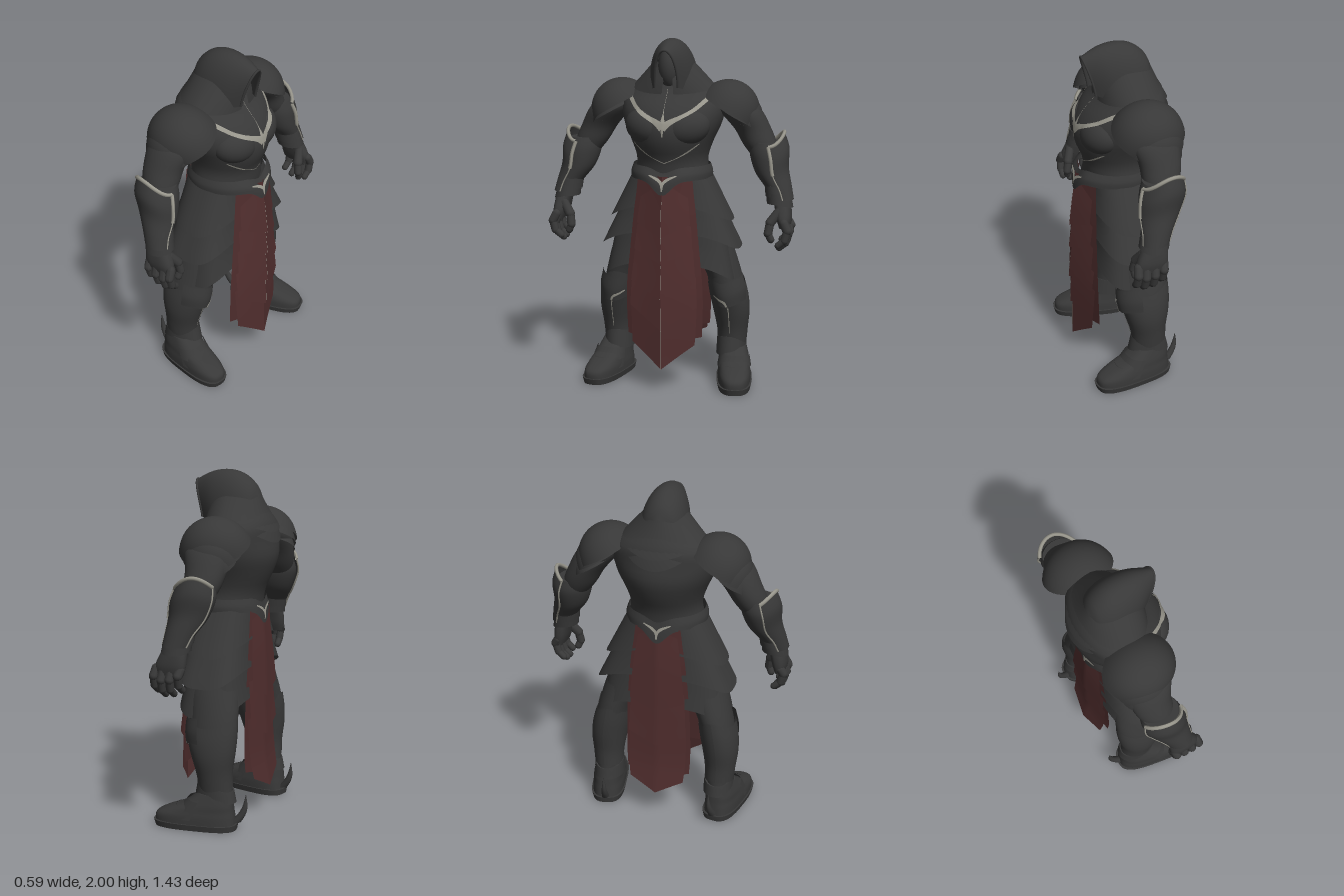
import * as THREE from 'three';
import { mergeGeometries, mergeVertices, toCreasedNormals } from 'three/addons/utils/BufferGeometryUtils.js';

const mat = (name, color) => new THREE.MeshStandardMaterial({ name, color, side: THREE.DoubleSide });
const { sin, cos, abs, max, min, pow, sign, floor, PI } = Math;

// Smooth interpolation through a short table of rows
function sample(rows, u) {
  const n = rows.length, s = u * (n - 1), i = min(floor(s), n - 2), t = s - i;
  const [a, b, c, d] = [rows[max(i - 1, 0)], rows[i], rows[i + 1], rows[min(i + 2, n - 1)]];
  return b.map((p, k) => 0.5 * (2 * p + (c[k] - a[k]) * t + (2 * a[k] - 5 * p + 4 * c[k] - d[k]) * t * t
    + (3 * p - a[k] - 3 * c[k] + d[k]) * t * t * t));
}

// Surface from fn(u, v, s); us is a list of [u, s] rows
function grid(fn, us, nv, closed = false) {
  const pos = [], idx = [], rows = [], cols = closed ? nv : nv + 1;
  for (const [u, s] of us) {
    const row = [];
    for (let j = 0; j < cols; j++) {
      const p = fn(u, j / nv, s);
      row.push(new THREE.Vector3(...p));
      pos.push(...p);
    }
    rows.push(row);
  }
  for (let i = 0; i < us.length - 1; i++) for (let j = 0; j < nv; j++) {
    const k = (j + 1) % cols, a = i * cols + j, b = i * cols + k, c = b + cols, d = a + cols;
    idx.push(a, b, c, a, c, d);
  }
  const g = new THREE.BufferGeometry();
  g.setAttribute('position', new THREE.Float32BufferAttribute(pos, 3));
  g.setIndex(idx);
  g.computeVertexNormals();
  g.userData.rows = rows;
  return g;
}
const steps = n => Array.from({ length: n + 1 }, (_, i) => [i / n, 1]);

// Loft of rings [y, cx, cz, rx, rzFront, rzBack], bottom up; a0..a1 leaves an open shell
function loft(rings, { a0, a1, lo = () => 0, hi = () => 0, n = 1, nu = 20, nv = 40 } = {}) {
  const open = a0 !== undefined;
  const fn = (u, v, s) => {
    const [y, cx, cz, rx, rf, rb] = sample(rings, u);
    const t = open ? a0 + (a1 - a0) * v : PI + 2 * PI * v;
    const S = sign(sin(t)) * pow(abs(sin(t)), n), C = sign(cos(t)) * pow(abs(cos(t)), n);
    return [cx + s * rx * S, y + lo(t) * (1 - u) + hi(t) * u, cz + s * (C > 0 ? rf : rb) * C];
  };
  const us = steps(nu);
  return grid(fn, open ? us : [[0, 0], [0, 1], ...us, [1, 1], [1, 0]], nv, !open);
}

const tube = (pts, r) => new THREE.TubeGeometry(new THREE.CatmullRomCurve3(pts), 40, r, 6);

// Chain of capsules through points, for fingers
function limb(pts, r) {
  return mergeGeometries(pts.slice(1).map((p, i) => {
    const a = new THREE.Vector3(...pts[i]), b = new THREE.Vector3(...p), d = b.clone().sub(a);
    const q = new THREE.Quaternion().setFromUnitVectors(new THREE.Vector3(0, 1, 0), d.clone().normalize());
    const m = r * (1 - i * 0.12);
    return new THREE.CapsuleGeometry(m, d.length(), 4, 10).applyQuaternion(q)
      .translate(...a.add(b).multiplyScalar(0.5).toArray());
  }));
}

// Thin strip [x, y, halfWidth] laid on the front (side 1) or back (side -1) of the target meshes
function inlay(targets, pts, side = 1) {
  const ray = new THREE.Raycaster();
  let z = 0.2 * side;
  return grid((u, v) => {
    const [x, y, w] = sample(pts, u), e = 0.01;
    const p = sample(pts, max(u - e, 0)), q = sample(pts, min(u + e, 1));
    const dx = q[0] - p[0], dy = q[1] - p[1], l = Math.hypot(dx, dy) || 1, k = (v * 2 - 1) * w;
    const X = x - dy / l * k, Y = y + dx / l * k;
    ray.set(new THREE.Vector3(X, Y, 2 * side), new THREE.Vector3(0, 0, -side));
    const hit = ray.intersectObjects(targets)[0];
    if (hit) z = hit.point.z + 0.006 * side;
    return [X, Y, z];
  }, steps(30), 4);
}

function mirrored(g) {
  const m = (g.index ? g.clone() : mergeVertices(g)).scale(-1, 1, 1), ix = m.index.array;
  for (let i = 0; i < ix.length; i += 3) [ix[i], ix[i + 1]] = [ix[i + 1], ix[i]];
  m.computeVertexNormals();
  return m;
}

export function createModel() {
  const armour = mat('dark armour', 0x383838), red = mat('dark red cloth', 0x4f2d2d), trim = mat('pale trim', 0x97958b);
  const body = new THREE.Group();
  body.name = 'armouredFigure';
  const add = (name, g, m = armour) => {
    const mesh = new THREE.Mesh(g, m);
    mesh.name = name;
    body.add(mesh);
    return mesh;
  };
  const pair = (name, g, m = armour) => {
    add(name + 'Right', mirrored(g), m);
    return add(name + 'Left', g, m);
  };

  // Torso and chest
  const torso = add('torso', loft([[1.1, 0, 0, .24, .17, .18], [1.22, 0, 0, .22, .19, .185], [1.32, 0, -.01, .205, .21, .19],
    [1.42, 0, -.01, .235, .25, .235], [1.52, 0, -.02, .28, .265, .255], [1.62, 0, -.04, .3, .235, .225],
    [1.7, 0, -.06, .27, .18, .2], [1.79, 0, -.06, .15, .13, .15]]));
  const pec = pair('chestPlate', new THREE.SphereGeometry(1, 28, 18).scale(.135, .105, .1).rotateZ(.25).rotateY(.4).translate(.115, 1.51, .137));
  const chest = [torso, pec];
  pair('chestTrim', inlay(chest, [[0, 1.515, .024], [.04, 1.545, .016], [.1, 1.575, .011], [.164, 1.612, .011], [.215, 1.66, .012], [.245, 1.69, .011], [.285, 1.705, .005]]), trim);
  add('breastboneTrim', inlay(chest, [[0, 1.72, .001], [0, 1.6, .002], [0, 1.54, .012], [0, 1.46, .002]]), trim);
  pair('ribTrim', inlay(chest, [[0, 1.31, .002], [.07, 1.34, .002], [.13, 1.375, .004], [.19, 1.42, .002]]), trim);

  // Belt, pointed at front and back
  const dip = t => -.08 * pow(abs(cos(t)), 24);
  const belt = add('belt', loft([[1.215, 0, 0, .235, .262, .218], [1.25, 0, 0, .235, .255, .212], [1.29, 0, 0, .222, .225, .2]],
    { a0: -PI, a1: PI, lo: dip, hi: t => dip(t) * .4, nv: 80 }));
  const buckle = [[0, 1.16, .004], [.004, 1.2, .008], [.03, 1.225, .008], [.08, 1.247, .003]];
  pair('buckleTrim', inlay([belt], buckle), trim);
  pair('backBuckleTrim', inlay([belt], buckle, -1), trim);

  // Hood, face and shoulder mantle
  const hoodRows = [[-.185, 1.86, .05, 1.76], [-.15, 1.925, .1, 1.72], [-.08, 1.98, .13, 1.7], [.01, 2, .135, 1.7],
    [.11, 1.985, .115, 1.71], [.205, 1.94, .066, 1.73]];
  const hood = grid((u, v) => {
    const [z, top, w, low] = sample(hoodRows, u), t = (v * 2 - 1) * PI / 2;
    return [-w * sin(t), low + (top - low) * pow(max(0, cos(t)), .8), z - .06 * u * (1 - cos(t))];
  }, steps(24), 32);
  add('hood', hood);
  add('hoodEdge', tube(hood.userData.rows.at(-1), .007));
  add('face', new THREE.SphereGeometry(1, 24, 18).scale(.075, .13, .1).translate(0, 1.83, .03));
  const back = t => max(0, -cos(t));
  for (const k of [0, 1]) add('mantle', loft([[1.72 - k * .03, 0, -.04, .25 - k * .01, .17, .24 + k * .01],
    [1.785 - k * .03, 0, -.04, .19 + k * .01, .16, .19 + k * .02], [1.87 - k * .03, 0, -.03, .11, .12, .15]],
    { a0: .15, a1: 2 * PI - .15, lo: t => -.05 * max(0, cos(t)) - (.06 + k * .03) * pow(back(t), 3), nv: 60 }));

  // Layered shoulder guards, each a tilted dome with a flared, pointed outer rim
  [[.315, 1.59, .178, .195], [.362, 1.552, .148, .16], [.398, 1.512, .125, .13]].forEach(([x, y, r, rz], i) => {
    const dome = grid((u, v) => {
      const a = v * 2 * PI, p = max(.001, (1 - u) * (1.45 + .35 * pow(max(0, cos(a)), 6)));
      const flare = 1 + .05 * pow(1 - u, 6);
      return [r * flare * sin(p) * cos(a), r * cos(p), -rz * flare * sin(p) * sin(a)];
    }, steps(18), 48, true).rotateZ(-.5).translate(x, y, -.06 - i * .012);
    pair('shoulderGuard' + (i + 1), dome);
  });

  // Arms
  pair('upperArm', loft([[1.32, .53, -.05, .06, .07, .08], [1.4, .5, -.06, .095, .095, .11], [1.49, .455, -.07, .105, .112, .122],
    [1.6, .38, -.06, .12, .14, .14], [1.67, .33, -.06, .08, .1, .1]]));
  const foreRows = [[1.09, .635, .02, .06, .06, .07], [1.16, .613, .0, .065, .075, .08], [1.25, .568, -.025, .088, .1, .11],
    [1.35, .55, -.045, .105, .115, .125], [1.42, .535, -.05, .09, .098, .112]];
  pair('forearm', loft(foreRows));
  const guard = loft([...foreRows.slice(0, 4), [1.43, .535, -.05, .09, .1, .115]].map(([y, x, z, a, b, c]) => [y + .015, x + .004, z, a + .01, b + .012, c + .012]),
    { a0: .25, a1: 2.8, hi: t => -.045 + .075 * pow(max(0, sin(t - .25)), 2) });
  pair('gauntletGuard', guard);
  const gr = guard.userData.rows, front = gr.map(r => r[0]);
  pair('gauntletRim', tube(gr.at(-1), .011), trim);
  pair('gauntletFrontEdge', tube(front.slice(10), .011), trim);
  pair('gauntletLowerEdge', tube(front.slice(0, 11), .004), trim);
  pair('gauntletBackEdge', tube(gr.map(r => r.at(-1)), .005), trim);
  for (const k of [0, 1]) pair('wristCuff', loft([[1.08 + k * .04, .632 - k * .01, .02 - k * .01, .075, .082, .085],
    [1.14 + k * .04, .62 - k * .012, .01 - k * .01, .068, .08, .082]], { nu: 4, lo: t => -.02 * max(0, sin(t)) }));

  // Hands
  pair('palm', loft([[.95, .665, .045, .03, .08, .085], [1.0, .66, .04, .042, .085, .09], [1.06, .65, .03, .045, .07, .08], [1.12, .635, .02, .045, .05, .06]], { n: .8 }));
  [-.025, .025, .075, .12].forEach((z, i) => {
    const dy = [.03, .005, 0, .02][i];
    pair('finger', limb([[.67, .98, z], [.69, .92 + dy, z + .006], [.675, .865 + dy, z + .008], [.64, .835 + dy, z + .005]], .026));
  });
  pair('thumb', limb([[.635, 1.04, .08], [.59, .98, .105], [.58, .92, .115], [.595, .885, .11]], .028));

  // Skirt of overlapping, flared plates on each side, lowest at the middle
  [[1.25, 1.01, .22, .36, .8], [1.08, .85, .275, .405, .62], [.92, .67, .32, .38, .55]].forEach(([t, b, rt, rb, n], i) => {
    pair('skirtPlate' + (i + 1), loft([[b, 0, 0, rb, .2, .2], [(t + b) / 2, 0, 0, (rt + rb) / 2, .183, .188], [t, 0, 0, rt, .175, .18]],
      { a0: .18, a1: PI - .18, n, lo: a => .06 - .1 * pow(sin(a), 2), nv: 60 }));
  });

  // Legs and greaves
  pair('leg', loft([[.1, .35, -.07, .075, .09, .1], [.2, .345, -.08, .07, .09, .095], [.3, .345, -.07, .08, .09, .1], [.42, .34, -.055, .092, .11, .12],
    [.53, .325, -.045, .1, .135, .14], [.65, .3, -.04, .1, .145, .145], [.85, .22, -.01, .12, .15, .155], [1.12, .12, 0, .1, .15, .16]]));
  const greave = pair('greave', loft([[.23, .345, -.075, .085, .1, .1], [.32, .348, -.07, .09, .108, .105], [.43, .345, -.055, .104, .13, .135],
    [.53, .332, -.045, .11, .152, .15], [.62, .315, -.04, .106, .152, .15]],
    { a0: -PI, a1: PI, lo: t => -.02 * cos(t), hi: t => .03 * cos(t * 2) }));
  const knee = pair('kneeGuard', loft([[.5, .335, -.045, .108, .152, .14], [.56, .328, -.042, .114, .16, .15], [.63, .313, -.038, .11, .156, .15]],
    { a0: -1, a1: 1.3, lo: t => -.03 * pow(max(0, cos(t)), 4), hi: t => .03 * abs(t) - .02 }));
  pair('kneeTrim', inlay([greave, knee], [[.265, .535, .004], [.3, .515, .006], [.335, .495, .007], [.35, .44, .003], [.35, .3, .002]]), trim);

  // Boots, turned out, with a heel spur
  const turn = g => g.translate(-.35, 0, .05).rotateY(.19).translate(.358, 0, -.05);
  pair('sole', turn(loft([[0, .355, 0, .096, .275, .2], [.035, .355, 0, .104, .285, .205]], { n: .7, nu: 2 })));
  pair('boot', turn(loft([[.03, .355, 0, .096, .275, .195], [.075, .355, 0, .095, .268, .19], [.11, .355, -.01, .09, .215, .175],
    [.15, .355, -.04, .085, .14, .14], [.21, .35, -.07, .075, .09, .1]], { n: .75 })));
  for (const k of [0, 1]) pair('instepPlate', turn(loft([[.06 + k * .05, .355, 0, .1, .205 - k * .07, .1], [.12 + k * .045, .355, -.02, .09, .17 - k * .07, .1]],
    { a0: -1.4, a1: 1.4, n: .8, nu: 6, hi: t => .012 * cos(t) })));
  pair('ankleCuff', loft([[.16, .343, -.075, .09, .13, .12], [.25, .343, -.075, .085, .108, .105]], { nu: 6, hi: t => .025 * cos(t) }));
  pair('heelSpur', turn(loft([[.045, .355, -.195, .022, .03, .03], [.09, .355, -.23, .018, .024, .022], [.14, .355, -.25, .012, .015, .014], [.21, .355, -.255, .001, .001, .001]], { nv: 12 })));

  // Hanging cloth: under sheet plus overlapping folded panels with pointed hems
  const cloth = (name, s, tops, tips, sides, width, depth, fold, grow) => {
    const piece = (label, yT, tip, side, extra, kick) => {
      const fn = (u, v) => {
        const a = v * 2 - 1, yb = side + (tip - side) * (1 - abs(a)), y = yb + (yT - yb) * u;
        const h = max(0, min(1, (tops - y) / (tops - .13)));
        return [s * a * (sample(width, h)[0] + extra), y, s * (sample(depth, h)[0] - fold * abs(a) + kick * (1 - u))];
      };
      add(name + label, toCreasedNormals(grid(fn, steps(10), 16), .4), red);
      if (s > 0 && kick > 0) add('clothSeam', grid((u, v) => {
        const p = fn(u * .6, .5);
        return [(v - .5) * .002, p[1], p[2] + .002];
      }, steps(10), 1), trim);
    };
    piece('Under', tops, sides.at(-1), sides.at(-1) + .04, grow, -.012);
    tips.forEach((tip, i) => piece('Panel' + (i + 1), i ? sides[i - 1] + .05 : tops, tip, sides[i], 0, .026));
  };
  cloth('frontCloth', 1, 1.24, [.9, .75, .545, .36, .13], [.97, .82, .635, .49, .27],
    [[.125], [.15], [.172], [.192], [.188], [.175]], [[.25], [.262], [.27], [.275], [.27], [.262]], .07, .032);
  cloth('backCloth', -1, 1.22, [.71, .48, .17], [.77, .55, .25],
    [[.11], [.14], [.16], [.17], [.17], [.15]], [[.205], [.212], [.212], [.21], [.212], [.235]], .02, .022);

  // Turn the figure to face +x
  body.rotation.y = PI / 2;
  const model = new THREE.Group();
  model.name = 'model';
  model.add(body);
  return model;
}
